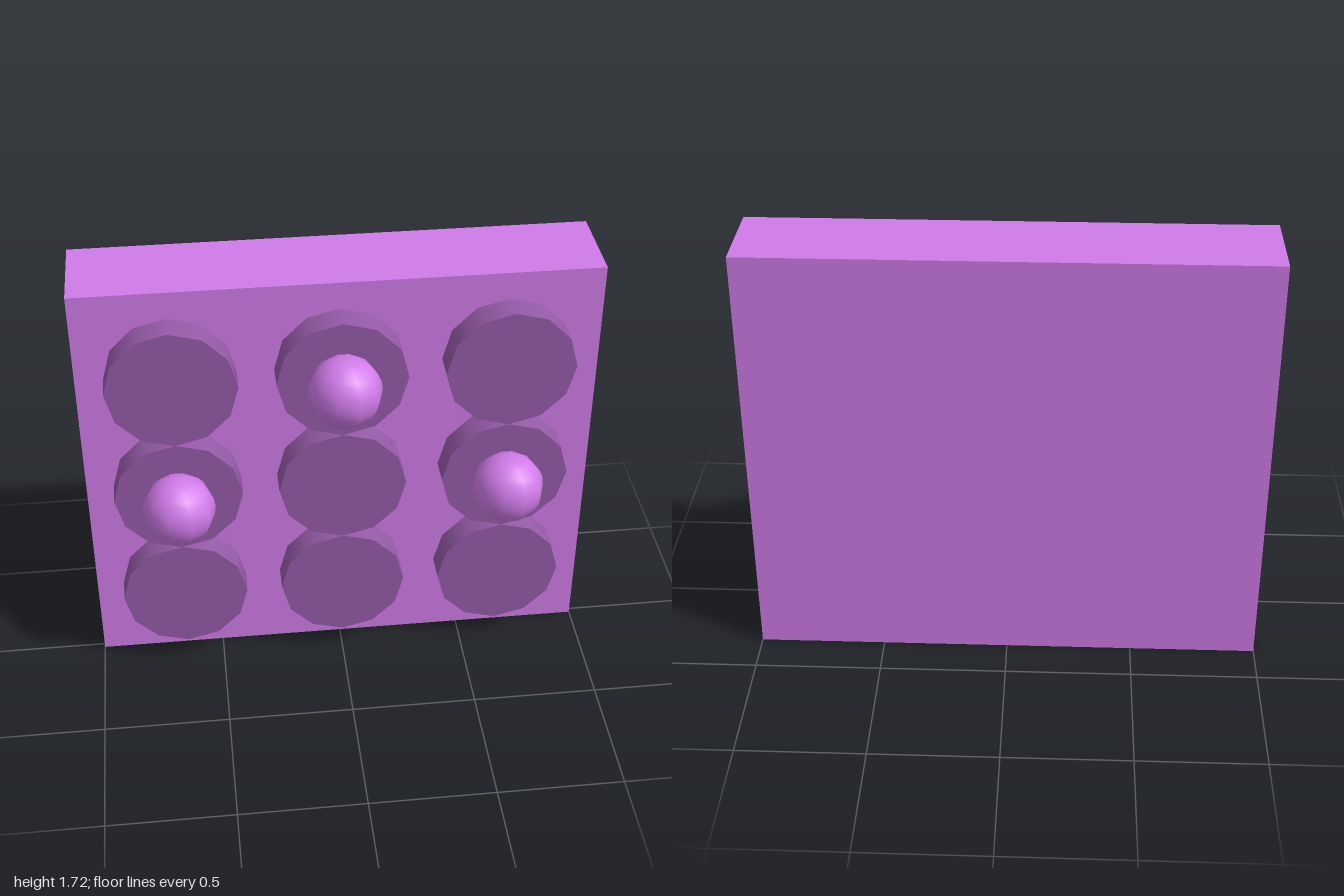
import * as THREE from 'three';

export function createModel() {
  const model = new THREE.Group();
  const bright = new THREE.MeshStandardMaterial({ color: 0xd07be9 });
  const dark = new THREE.MeshStandardMaterial({ color: 0x955aa7 });

  const add = (name, geometry, material, x, y, z) => {
    const mesh = new THREE.Mesh(geometry, material);
    mesh.name = name;
    mesh.position.set(x, y, z);
    model.add(mesh);
  };

  // Backing slab
  add('backingSlab', new THREE.BoxGeometry(2, 1.72, 0.355), bright, 0, 0.86, -0.157);

  // Three by three grid of twelve-sided discs, some carrying a ball
  const disc = new THREE.CylinderGeometry(0.25, 0.25, 0.13, 12).rotateX(Math.PI / 2);
  const ball = new THREE.SphereGeometry(0.14, 10, 12);
  const columns = ['Right', 'Middle', 'Left'];
  const rows = ['bottom', 'centre', 'top'];
  const filled = ['topMiddle', 'centreRight', 'centreLeft'];

  rows.forEach((row, r) => {
    columns.forEach((column, c) => {
      const x = (c - 1) * 0.642;
      const y = 0.36 + r * 0.5;
      const place = row + column;
      add(`${place}Disc`, disc, dark, x, y, 0.065);
      if (filled.includes(place)) add(`${place}Ball`, ball, bright, x, y, 0.2);
    });
  });

  return model;
}
